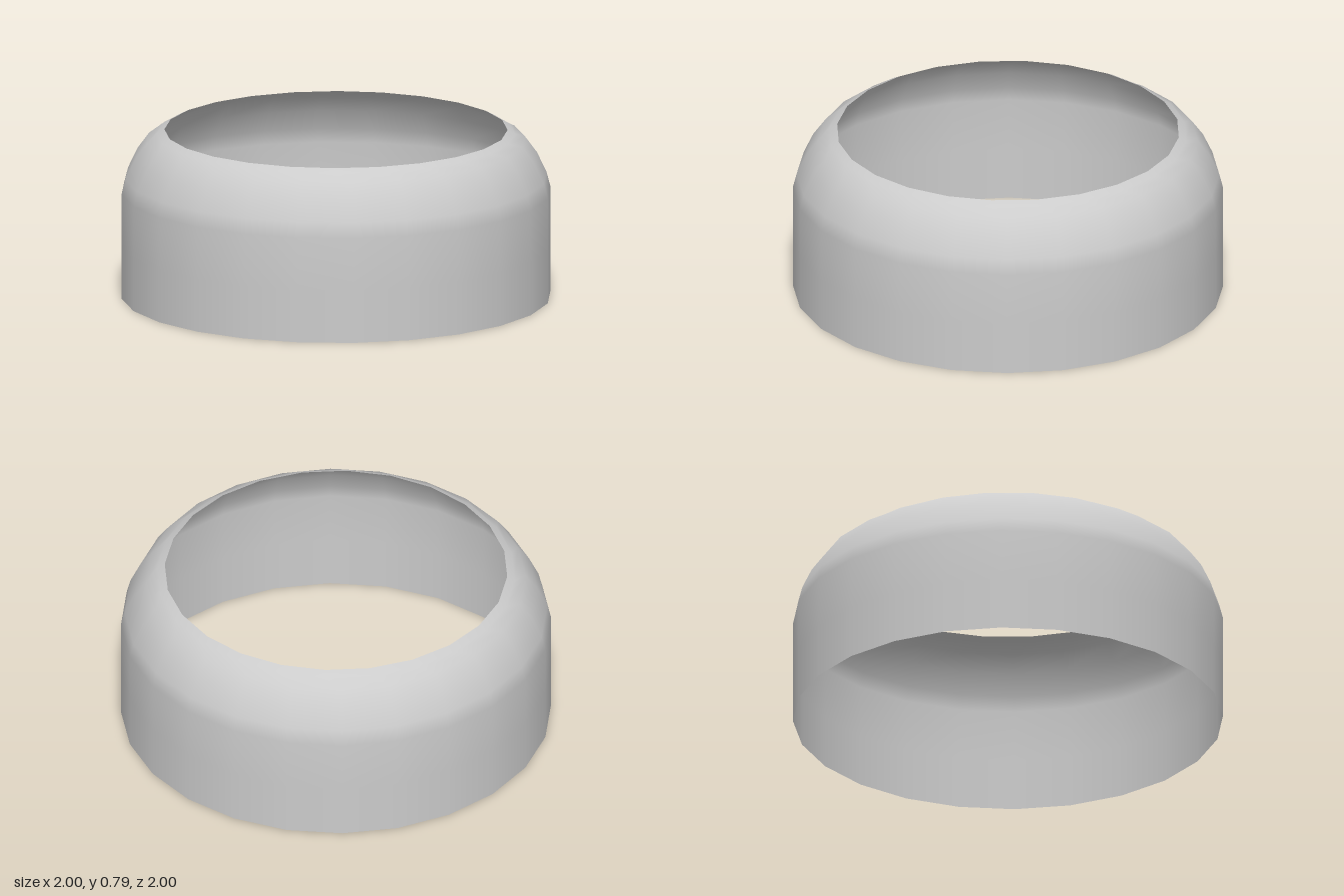
import * as THREE from 'three';

const SIDES = 24;
const TWIST = THREE.MathUtils.degToRad(5.3);

// Profile of the open shell, bottom edge to top lip: [radius, height, share of twist]
const PROFILE = [
  [1.003, 0, 1],
  [1.003, 0.25, 1],
  [1.003, 0.5, 1],
  [0.985, 0.57, 1],
  [0.94, 0.665, 1],
  [0.885, 0.74, 1],
  [0.835, 0.772, 0],
  [0.8, 0.79, 0],
];

export function createModel() {
  const group = new THREE.Group();
  group.name = 'ring';

  const points = PROFILE.map(([r, y]) => new THREE.Vector2(r, y));
  const geometry = new THREE.LatheGeometry(points, SIDES);

  // The outer wall's corners are turned slightly against those of the lip
  const pos = geometry.attributes.position;
  const normal = geometry.attributes.normal;
  const up = new THREE.Vector3(0, 1, 0);
  const v = new THREE.Vector3();
  for (let i = 0; i < pos.count; i++) {
    const angle = TWIST * PROFILE[i % PROFILE.length][2];
    for (const attribute of [pos, normal]) {
      v.fromBufferAttribute(attribute, i).applyAxisAngle(up, angle);
      attribute.setXYZ(i, v.x, v.y, v.z);
    }
  }

  // Thin wall, open at top and bottom
  const shell = new THREE.Mesh(
    geometry,
    new THREE.MeshStandardMaterial({ color: 0xcccccc, side: THREE.DoubleSide })
  );
  shell.name = 'shell';
  group.add(shell);
  return group;
}
